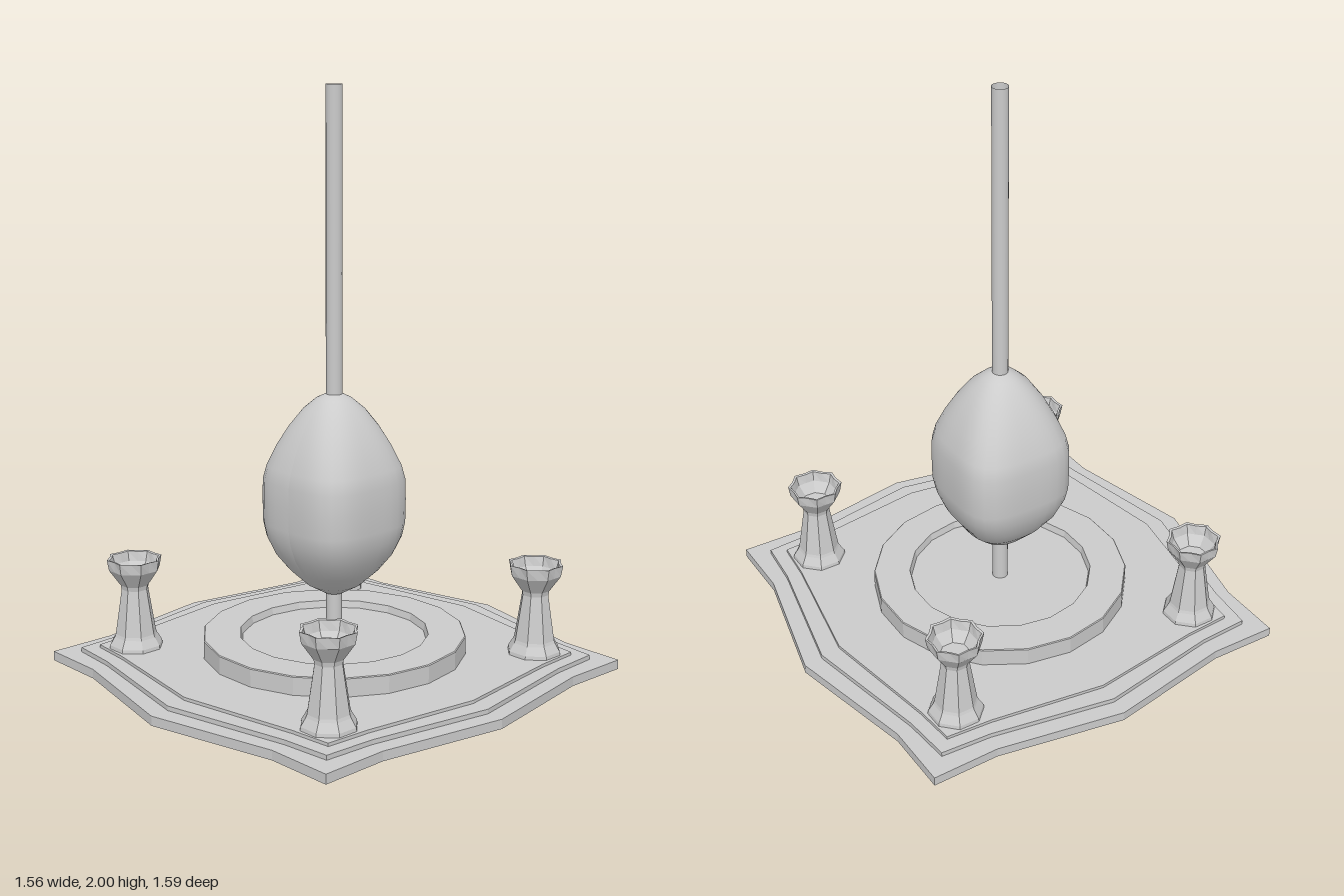
import * as THREE from 'three';

const flat = new THREE.MeshStandardMaterial({ color: 0xcccccc, flatShading: true, side: THREE.DoubleSide });
const smooth = new THREE.MeshStandardMaterial({ color: 0xcccccc, side: THREE.DoubleSide });

function named(name, geometry, material) {
  const mesh = new THREE.Mesh(geometry, material);
  mesh.name = name;
  return mesh;
}

// One 16-point loop of the plate: square corners, with a point bowed out on each side
function plateLoop([cornerX, cornerZ, shoulderX, shoulderZ, tipZ, sideX, sideZ, tipX], y) {
  const quarter = [[tipX, 0], [sideX, sideZ], [cornerX, cornerZ], [shoulderX, shoulderZ], [0, tipZ]];
  const half = [...quarter, ...quarter.slice(0, 4).reverse().map(([x, z]) => [-x, z])];
  const full = [...half, ...half.slice(1, -1).reverse().map(([x, z]) => [x, -z])];
  return full.map(([x, z]) => [x, y, z]);
}

// Joins equal-length loops, listed from bottom to top, into a faceted skin
function skin(loops) {
  const n = loops[0].length;
  const pos = loops.flat(2);
  const index = [];
  for (let i = 0; i < loops.length - 1; i++) {
    for (let j = 0; j < n; j++) {
      const a = i * n + j, b = i * n + (j + 1) % n;
      index.push(a, a + n, b, b, a + n, b + n);
    }
  }
  const g = new THREE.BufferGeometry();
  g.setAttribute('position', new THREE.Float32BufferAttribute(pos, 3));
  g.setIndex(index);
  const out = g.toNonIndexed();
  out.computeVertexNormals();
  return out;
}

function lathe(points, sides, start = 0) {
  return new THREE.LatheGeometry(points.map(([r, y]) => new THREE.Vector2(r, y)), sides, start);
}

// Stepped plate, open underneath
function basePlate() {
  const outer = [0.703, 0.69, 0.465, 0.692, 0.797, 0.699, 0.45, 0.78];
  const middle = [0.632, 0.621, 0.46, 0.637, 0.731, 0.642, 0.44, 0.72];
  const inner = [0.588, 0.574, 0.44, 0.588, 0.663, 0.598, 0.41, 0.656];
  const centre = new Array(8).fill(0);
  return named('basePlate', skin([
    plateLoop(outer, 0), plateLoop(outer, 0.033),
    plateLoop(middle, 0.033), plateLoop(middle, 0.049),
    plateLoop(inner, 0.049), plateLoop(inner, 0.06),
    plateLoop(centre, 0.06),
  ]), flat);
}

// Bulb: round at both ends, a rounded square around the middle
function bulb() {
  const profile = [[0, 0.265], [0.035, 0.268], [0.09, 0.3], [0.14, 0.352], [0.178, 0.41], [0.2, 0.47], [0.208, 0.52],
    [0.209, 0.6], [0.208, 0.67], [0.198, 0.72], [0.172, 0.79], [0.14, 0.855], [0.1, 0.915], [0.06, 0.952],
    [0.03, 0.967], [0, 0.97]];
  const g = lathe(profile, 40);
  const p = g.attributes.position;
  for (let i = 0; i < p.count; i++) {
    const x = p.getX(i), z = p.getZ(i), r = Math.hypot(x, z);
    if (r < 1e-5) continue;
    const power = 2 + 1.7 * Math.pow(r / 0.209, 2);
    const c = Math.abs(x / r), s = Math.abs(z / r);
    const k = Math.pow(Math.pow(c, power) + Math.pow(s, power), -1 / power);
    p.setX(i, x * k);
    p.setZ(i, z * k);
  }
  g.computeVertexNormals();
  return named('bulb', g, smooth);
}

// Eight-sided pedestal with a hollow, scalloped cup
function pedestalGeometry() {
  const profile = [[0.095, 0.06], [0.093, 0.072], [0.076, 0.1], [0.072, 0.11], [0.047, 0.27], [0.05, 0.285],
    [0.09, 0.342], [0.097, 0.38], [0.088, 0.378], [0.078, 0.345], [0.05, 0.31], [0, 0.31]];
  const g = lathe(profile, 16, Math.PI / 8);
  const p = g.attributes.position;
  const rows = profile.length;
  for (let i = 0; i < p.count; i++) {
    const side = Math.floor(i / rows), row = i % rows;
    if (side % 2 === 0) continue;
    const k = row === 7 || row === 8 ? 0.88 : Math.cos(Math.PI / 8);
    p.setX(i, p.getX(i) * k);
    p.setZ(i, p.getZ(i) * k);
  }
  g.computeVertexNormals();
  return g;
}

export function createModel() {
  const model = new THREE.Group();
  model.name = 'fountainStand';
  model.add(basePlate());

  // Round basin with a raised rim
  const rim = [[0.457, 0.06], [0.457, 0.122], [0.454, 0.125], [0.328, 0.125], [0.322, 0.1], [0, 0.1]];
  model.add(named('basin', lathe(rim, 18, Math.PI / 2), flat));

  // Hollow pole through the bulb
  const pole = named('pole', new THREE.CylinderGeometry(0.028, 0.028, 1.9, 16, 1, true), smooth);
  pole.position.y = 1.05;
  model.add(pole, bulb());

  // Four corner pedestals
  const pedestal = pedestalGeometry();
  for (const x of [-0.495, 0.495]) {
    for (const z of [-0.485, 0.485]) {
      const mesh = named('cornerPedestal', pedestal, flat);
      mesh.position.set(x, 0, z);
      model.add(mesh);
    }
  }
  return model;
}
